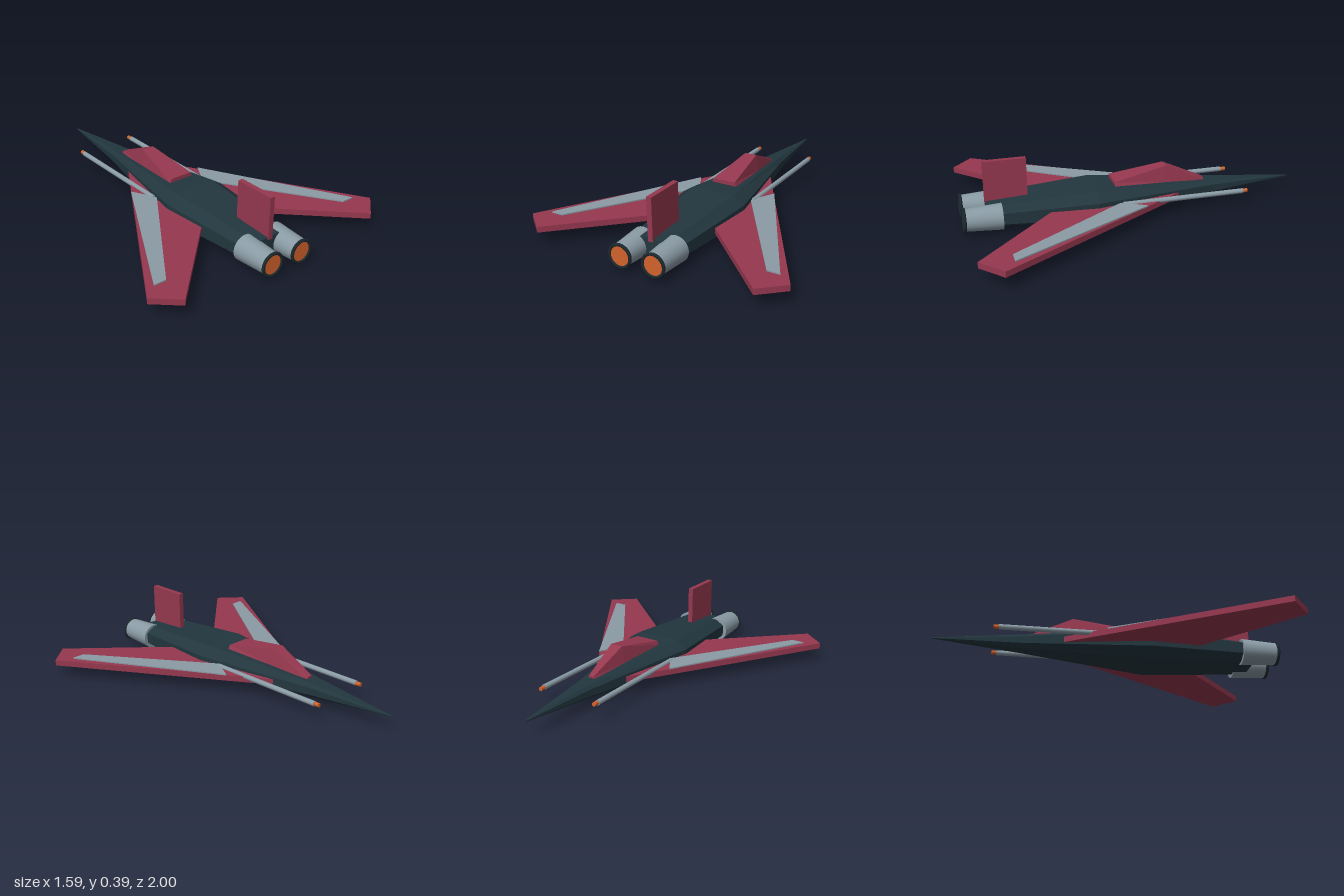
import * as THREE from 'three';

const material = (name, color, extra = {}) => {
  const m = new THREE.MeshStandardMaterial({ color, ...extra });
  m.name = name;
  return m;
};

// Closed solid through matching cross-sections (counter-clockwise seen from +z, ordered by rising z)
function loft(sections) {
  const pos = [];
  const tri = (a, b, c) => pos.push(...a, ...b, ...c);
  const n = sections[0].length;
  for (let s = 0; s < sections.length - 1; s++) {
    const p = sections[s], q = sections[s + 1];
    for (let i = 0; i < n; i++) {
      const j = (i + 1) % n;
      tri(p[i], p[j], q[j]);
      tri(p[i], q[j], q[i]);
    }
  }
  const first = sections[0], last = sections[sections.length - 1];
  for (let i = 1; i < n - 1; i++) {
    tri(first[0], first[i + 1], first[i]);
    tri(last[0], last[i], last[i + 1]);
  }
  const g = new THREE.BufferGeometry();
  g.setAttribute('position', new THREE.Float32BufferAttribute(pos, 3));
  g.computeVertexNormals();
  return g;
}

// Flat plate from an outline in x and z, with its upper face at the given height
function plate(outline, side, top, thickness) {
  const shape = new THREE.Shape(outline.map(([x, z]) => new THREE.Vector2(x * side, z)));
  const g = new THREE.ExtrudeGeometry(shape, { depth: thickness, bevelEnabled: false });
  return g.rotateX(Math.PI / 2).translate(0, top, 0);
}

// Cylinder lying along z between z0 and z1
function tubeZ(r0, r1, z0, z1, x, y, sides) {
  return new THREE.CylinderGeometry(r1, r0, z1 - z0, sides)
    .rotateX(Math.PI / 2).translate(x, y, (z0 + z1) / 2);
}

export function createModel() {
  const model = new THREE.Group();
  model.name = 'jetFighter';
  const hull = material('dark hull', 0x22363e);
  const red = material('crimson', 0x96384f);
  const grey = material('steel grey', 0x8a9ba5);
  const orange = material('burner orange', 0xd2622b);
  const rim = material('rim dark', 0x1c282d);

  const add = (name, geometry, mat) => {
    const mesh = new THREE.Mesh(geometry, mat);
    mesh.name = name;
    model.add(mesh);
  };

  // Fuselage: chamfered octagons [z, centre y, half width, half height]
  const octagon = ([z, y, w, h]) => [
    [1, -0.5], [1, 0.5], [0.65, 1], [-0.65, 1],
    [-1, 0.5], [-1, -0.5], [-0.65, -1], [0.65, -1],
  ].map(([a, b]) => [a * w, y + b * h, z]);
  add('fuselage', loft([
    [-1, 0.1, 0.003, 0.003],
    [-0.5, 0.098, 0.06, 0.041],
    [0.24, 0.095, 0.2, 0.092],
    [0.86, 0.093, 0.148, 0.06],
  ].map(octagon)), hull);

  // Canopy: trapezoids [z, bottom y, top y, bottom half width, top half width]
  add('canopy', loft([
    [-0.44, 0.14, 0.155, 0.022, 0.016],
    [-0.2, 0.165, 0.262, 0.054, 0.037],
    [0.12, 0.183, 0.206, 0.08, 0.07],
  ].map(([z, b, t, wb, wt]) => [[wb, b, z], [wt, t, z], [-wt, t, z], [-wb, b, z]])), red);

  // Tail fin
  add('tailFin', new THREE.BoxGeometry(0.03, 0.25, 0.245).translate(0, 0.264, 0.742), red);

  for (const side of [1, -1]) {
    const label = side > 0 ? 'left' : 'right';

    // Swept wing and its inlaid stripe
    add(label + 'Wing', plate(
      [[0.08, -0.3], [0.795, 0.86], [0.66, 0.98], [0.08, 0.425]], side, 0.113, 0.034), red);
    add(label + 'WingStripe', plate(
      [[0.25, -0.03], [0.71, 0.8], [0.635, 0.8], [0.17, 0.11]], side, 0.12, 0.008), grey);

    // Cannon with its muzzle
    add(label + 'Cannon', tubeZ(0.015, 0.015, -0.63, 0.1, side * 0.182, 0.112, 12), grey);
    add(label + 'Muzzle', tubeZ(0.012, 0.012, -0.66, -0.628, side * 0.18, 0.112, 12), orange);

    // Engine nozzle, rolled rim and glowing exhaust
    const x = side * 0.102, y = 0.09;
    add(label + 'Engine', tubeZ(0.076, 0.064, 0.78, 0.985, x, y, 24), grey);
    add(label + 'EngineRim',
      new THREE.TorusGeometry(0.063, 0.009, 8, 28).translate(x, y, 0.991), rim);
    add(label + 'Exhaust', tubeZ(0.06, 0.06, 0.984, 0.993, x, y, 28), orange);
  }
  return model;
}
